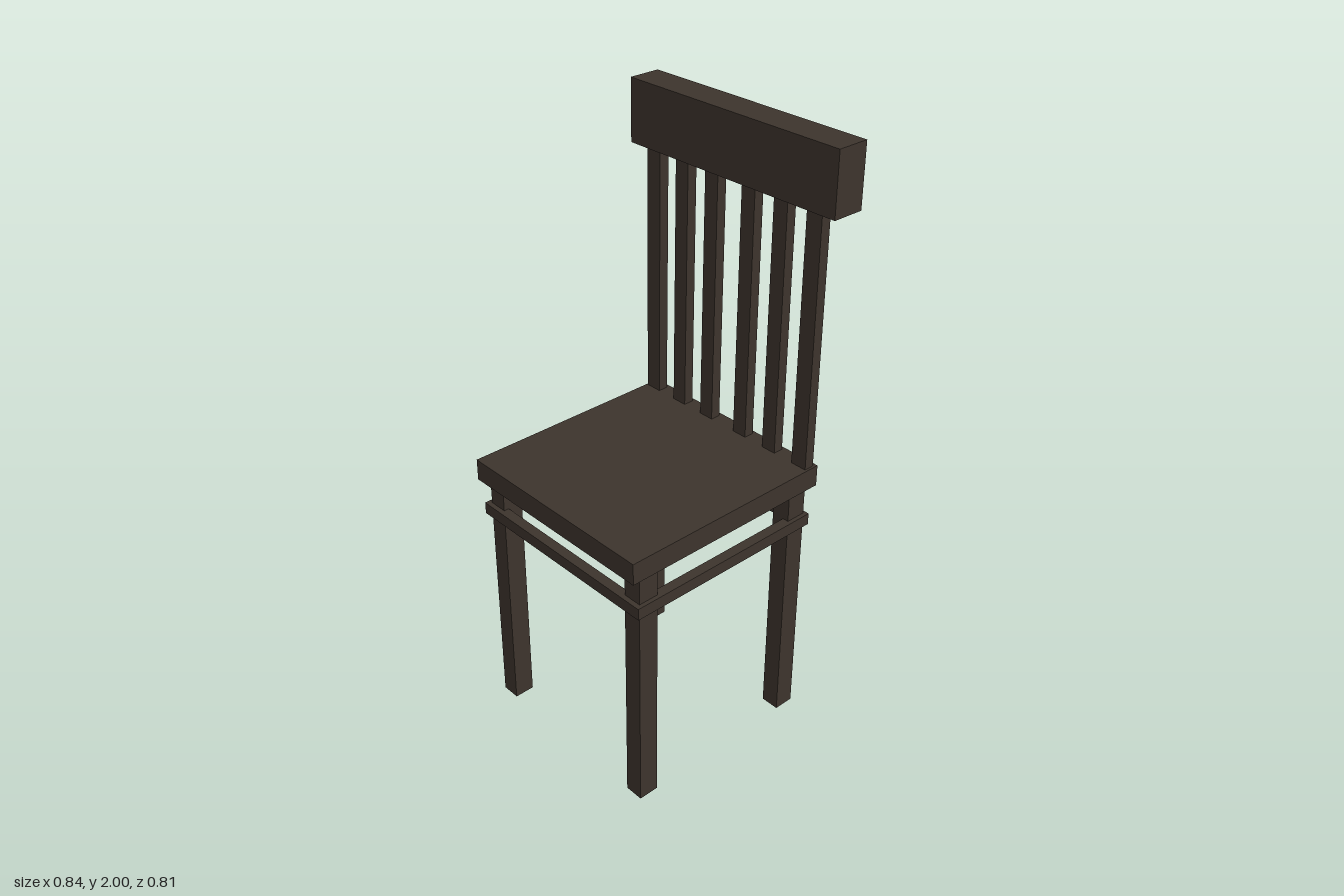
import * as THREE from 'three';

export function createModel() {
  const chair = new THREE.Group();
  chair.name = 'chair';
  const darkWood = new THREE.MeshStandardMaterial({ color: 0x3d342d });
  darkWood.name = 'darkWood';

  // Box given by its extents along each axis
  const board = (name, [x0, x1], [y0, y1], [z0, z1]) => {
    const mesh = new THREE.Mesh(new THREE.BoxGeometry(x1 - x0, y1 - y0, z1 - z0), darkWood);
    mesh.name = name;
    mesh.position.set((x0 + x1) / 2, (y0 + y1) / 2, (z0 + z1) / 2);
    chair.add(mesh);
  };

  board('seat', [-0.368, 0.368], [0.875, 0.948], [-0.36, 0.403]);
  board('topRail', [-0.42, 0.42], [1.795, 2], [-0.405, -0.295]);

  // Legs
  for (const [side, x] of [['left', 0.321], ['right', -0.321]]) {
    for (const [end, z] of [['Front', 0.332], ['Back', -0.29]]) {
      board(side + end + 'Leg', [x - 0.032, x + 0.032], [0, 0.88], [z - 0.035, z + 0.035]);
    }
  }

  // Stretchers wrapping the outside of the legs under the seat
  const y = [0.738, 0.778], t = 0.035;
  board('frontStretcher', [-0.367, 0.367], y, [0.384 - t, 0.384]);
  board('backStretcher', [-0.367, 0.367], y, [-0.335, -0.335 + t]);
  board('leftStretcher', [0.367 - t, 0.367], y, [-0.335, 0.384]);
  board('rightStretcher', [-0.367, -0.367 + t], y, [-0.335, 0.384]);

  // Back slats
  [-0.335, -0.208, -0.08, 0.073, 0.202, 0.331].forEach((x, i) => {
    const half = i === 0 || i === 5 ? 0.029 : 0.027;
    board('backSlat' + (i + 1), [x - half, x + half], [0.94, 1.8], [-0.347, -0.312]);
  });

  return chair;
}
